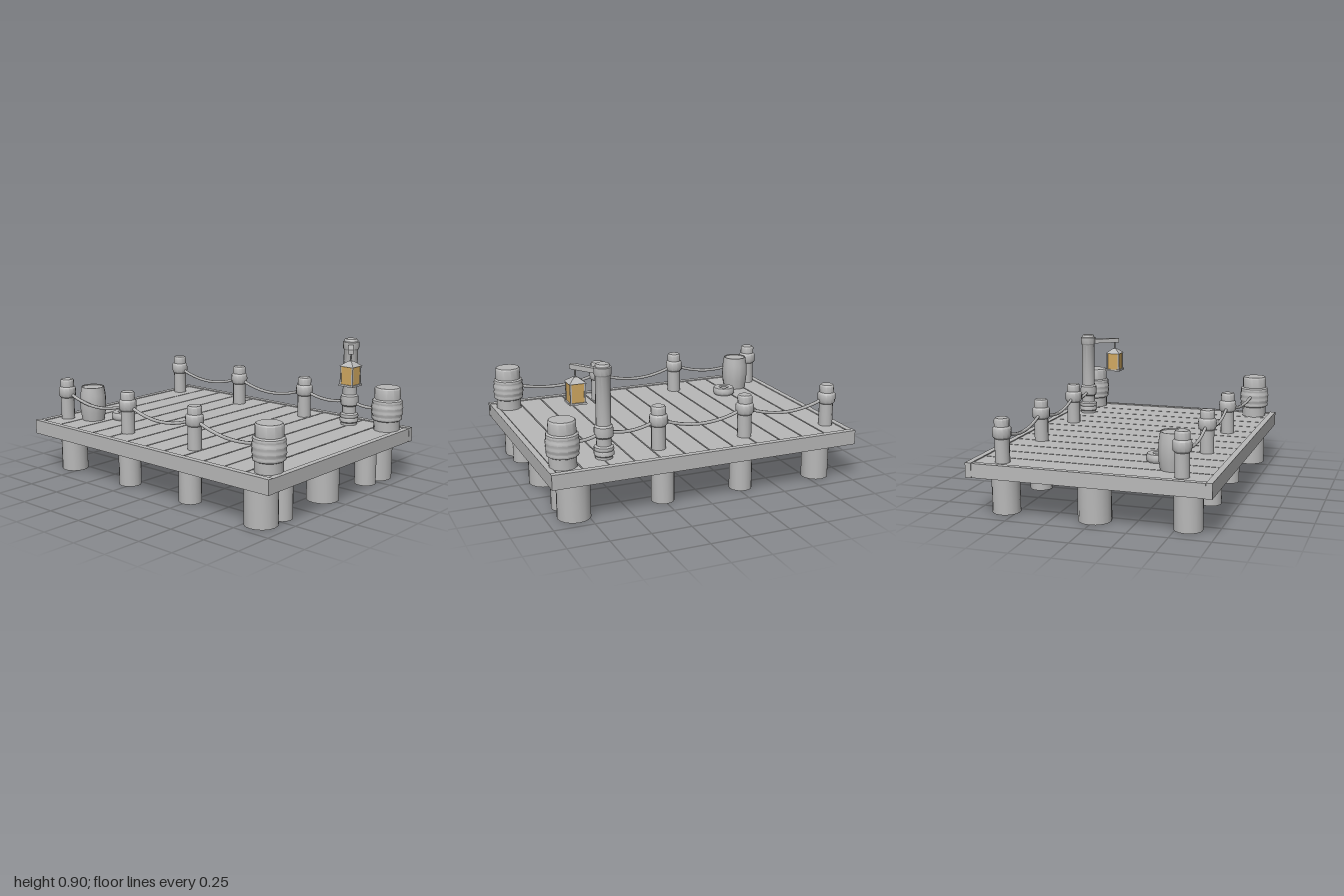
import * as THREE from 'three';
import { toCreasedNormals } from 'three/addons/utils/BufferGeometryUtils.js';

const wood = new THREE.MeshStandardMaterial({ color: 0xb8b8b8 });
wood.name = 'weathered grey';
const amber = new THREE.MeshStandardMaterial({ color: 0xd0a860 });
amber.name = 'amber glass';

export function createModel() {
  const model = new THREE.Group();
  model.name = 'dock';

  const add = (name, geometry, x, y, z, material = wood, parent = model) => {
    const mesh = new THREE.Mesh(geometry, material);
    mesh.name = name;
    mesh.position.set(x, y, z);
    parent.add(mesh);
    return mesh;
  };
  const box = (name, w, h, d, x, y, z, material, parent) =>
    add(name, new THREE.BoxGeometry(w, h, d), x, y, z, material, parent);
  // Turned part from [radius, y] pairs, listed bottom to top
  const turned = (name, profile, x, z, sides = 12) => {
    const points = profile.map(([r, y]) => new THREE.Vector2(r, y));
    const geometry = toCreasedNormals(new THREE.LatheGeometry(points, sides), 0.7);
    return add(name, geometry, x, 0, z);
  };

  // Deck frame
  for (const s of [-1, 1]) {
    box('sideBeam', 2, 0.092, 0.038, 0, 0.29, s * 0.73);
    box('endBeam', 0.037, 0.088, 1.42, s * 0.98, 0.289, 0);
    box('joist', 1.92, 0.065, 0.05, 0, 0.283, s * 0.31);
  }

  // Deck planks
  const pitch = 1.92 / 12;
  for (let i = 0; i < 12; i++) {
    box('plank', pitch - 0.008, 0.016, 1.42, -0.96 + pitch * (i + 0.5), 0.322, 0);
  }

  // Piles under the deck
  const pile = (x, z, r) =>
    turned('pile', [[0, 0], [r, 0], [r, 0.314], [0, 0.314]], x, z, 16);
  for (const s of [-1, 1]) {
    pile(0.83, s * 0.6, 0.102);
    pile(0.85, s * 0.44, 0.07);
    pile(0.25, s * 0.57, 0.072);
    pile(-0.28, s * 0.57, 0.072);
    pile(-0.82, s * 0.57, 0.087);
    pile(s * 0.83 + (s < 0 ? 0.01 : 0), 0, 0.102);
  }

  // Rope posts and wrapped corner bollards
  const postProfile = [
    [0, 0.285], [0.045, 0.285], [0.045, 0.475], [0.056, 0.487], [0.058, 0.515],
    [0.056, 0.54], [0.046, 0.55], [0.046, 0.59], [0.039, 0.6], [0, 0.6],
  ];
  const bollardProfile = [[0, 0.3], [0.084, 0.3], [0.084, 0.395]];
  for (let i = 0; i < 4; i++) {
    const y = 0.395 + i * 0.035;
    const r = i === 0 || i === 3 ? 0.099 : 0.103;
    bollardProfile.push([r - 0.003, y + 0.006], [r, y + 0.017], [r - 0.003, y + 0.029]);
  }
  bollardProfile.push([0.084, 0.537], [0.084, 0.602], [0.077, 0.612], [0, 0.612]);
  for (const s of [-1, 1]) {
    for (const x of [-0.9, -0.31, 0.27]) turned('ropePost', postProfile, x, s * 0.55);
    turned('cornerBollard', bollardProfile, 0.89, s * 0.61);
  }

  // Tall lantern post
  turned('lanternPost', [
    [0, 0.3], [0.054, 0.3], [0.054, 0.345], [0.062, 0.352], [0.062, 0.37], [0.058, 0.379],
    [0.062, 0.388], [0.06, 0.402], [0.046, 0.41], [0.046, 0.455], [0.057, 0.465],
    [0.06, 0.495], [0.057, 0.525], [0.046, 0.535], [0.046, 0.83], [0.053, 0.84],
    [0.053, 0.882], [0.045, 0.885], [0.045, 0.893], [0.038, 0.902], [0, 0.902],
  ], 0.625, -0.57);

  // Sagging ropes
  const rope = (from, to, sag) => {
    const points = [];
    for (let i = 0; i <= 8; i++) {
      const t = i / 8;
      const p = new THREE.Vector3(...from).lerp(new THREE.Vector3(...to), t);
      p.y -= sag * 4 * t * (1 - t);
      points.push(p);
    }
    const curve = new THREE.CatmullRomCurve3(points);
    add('rope', new THREE.TubeGeometry(curve, 16, 0.0105, 6), 0, 0, 0);
  };
  for (const s of [-1, 1]) {
    rope([-0.9, 0.515, s * 0.55], [-0.31, 0.515, s * 0.55], 0.065);
    rope([-0.31, 0.515, s * 0.55], [0.27, 0.515, s * 0.55], 0.065);
  }
  rope([0.27, 0.515, 0.55], [0.89, 0.5, 0.61], 0.055);
  rope([0.27, 0.515, -0.55], [0.625, 0.495, -0.57], 0.035);
  rope([0.625, 0.495, -0.57], [0.89, 0.485, -0.61], 0.03);

  // Lantern arm
  const arm = box('lanternArm', 0.033, 0.03, 0.23, 0.688, 0.853, -0.475);
  arm.rotation.y = Math.atan2(0.112, 0.165);

  // Hanging lantern
  const lantern = new THREE.Group();
  lantern.name = 'lantern';
  lantern.position.set(0.737, 0, -0.405);
  model.add(lantern);
  add('hook', new THREE.CylinderGeometry(0.005, 0.005, 0.07, 6), 0, 0.815, 0, wood, lantern);
  // Four-sided parts are turned so their faces follow the axes
  const roofGeometry = new THREE.CylinderGeometry(0.016, 0.075, 0.032, 4, 1).toNonIndexed();
  roofGeometry.rotateY(Math.PI / 4);
  roofGeometry.computeVertexNormals();
  add('lanternRoof', roofGeometry, 0, 0.776, 0, wood, lantern);
  box('lanternBase', 0.106, 0.012, 0.106, 0, 0.638, 0, wood, lantern);
  box('lanternGlass', 0.09, 0.118, 0.09, 0, 0.703, 0, amber, lantern);
  for (const sx of [-1, 1]) {
    for (const sz of [-1, 1]) {
      box('lanternCorner', 0.01, 0.118, 0.01, sx * 0.043, 0.703, sz * 0.043, wood, lantern);
    }
  }

  // Keg
  turned('keg', [
    [0, 0.33], [0.076, 0.33], [0.086, 0.39], [0.089, 0.445], [0.086, 0.5],
    [0.077, 0.556], [0.072, 0.556], [0.072, 0.549], [0, 0.549],
  ], -0.75, 0.455, 12);

  // Coiled rope disc with a hole in its middle
  turned('ropeCoil', [
    [0.027, 0.331], [0.068, 0.331], [0.076, 0.345], [0.076, 0.365],
    [0.069, 0.381], [0.034, 0.381], [0.027, 0.374], [0.027, 0.331],
  ], -0.6, 0.325, 12);

  return model;
}
